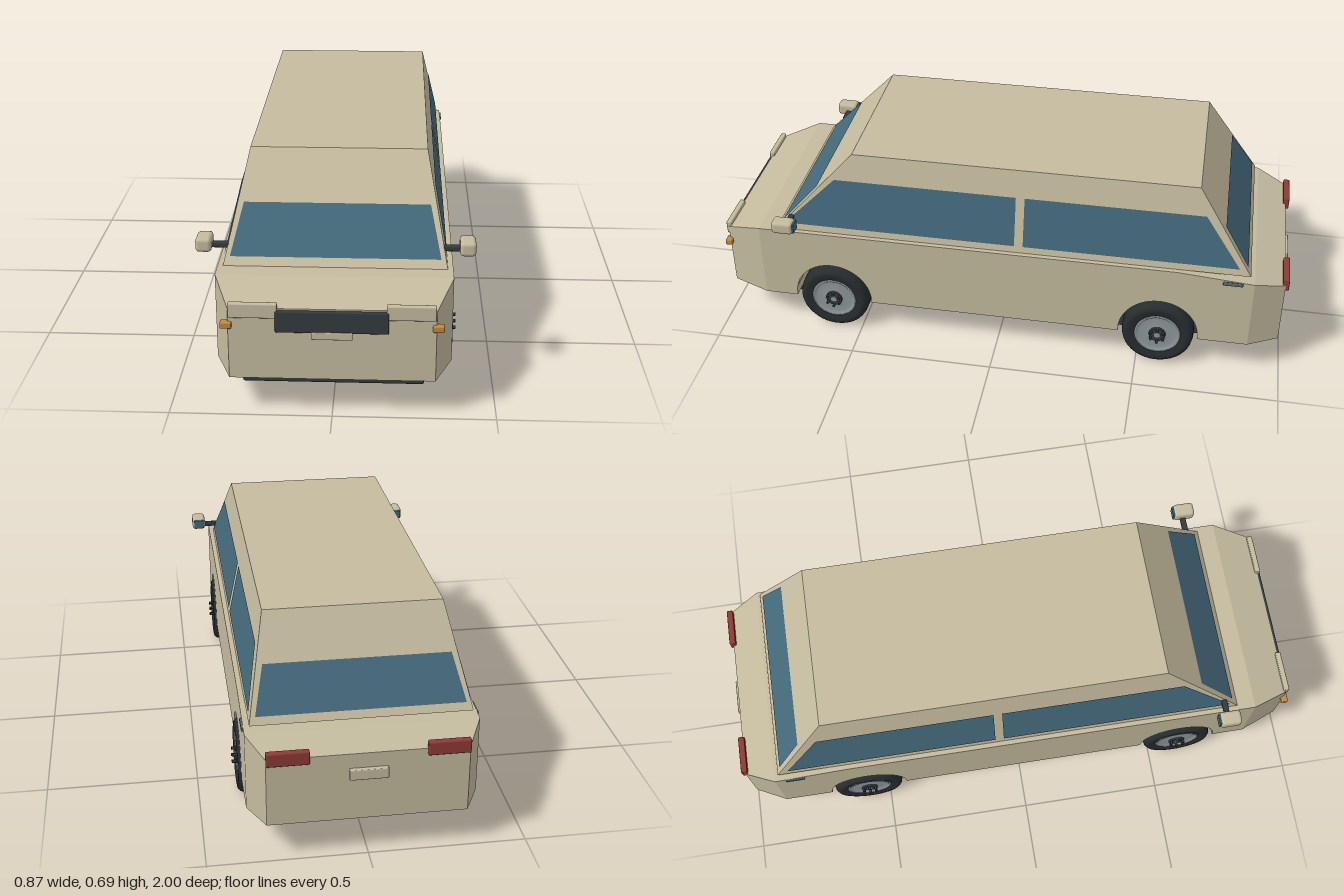
import * as THREE from 'three';
import { RoundedBoxGeometry } from 'three/addons/geometries/RoundedBoxGeometry.js';

const paint = (name, color) => {
  const m = new THREE.MeshStandardMaterial({ color });
  m.name = name;
  return m;
};

export function createModel() {
  const beige = paint('beige paint', 0xc4bb9e);
  const glass = paint('blue glass', 0x44697a);
  glass.side = THREE.DoubleSide;
  const dark = paint('dark plastic', 0x343b3e);
  const rubber = paint('black rubber', 0x272c2f);
  const steel = paint('grey steel', 0x8d979b);
  const slate = paint('slate underside', 0x5a686a);
  const amber = paint('amber lamp', 0xc28a40);
  const red = paint('red lamp', 0x8e3a36);

  const model = new THREE.Group();
  model.name = 'van';

  const add = (name, geo, mat, parent = model) => {
    const mesh = new THREE.Mesh(geo, mat);
    mesh.name = name;
    parent.add(mesh);
    return mesh;
  };

  // Rounded block given by its low and high corners
  const block = (name, x0, x1, y0, y1, z0, z1, mat, r = 0.004, parent = model) => {
    const g = new RoundedBoxGeometry(x1 - x0, y1 - y0, z1 - z0, 2, r);
    g.translate((x0 + x1) / 2, (y0 + y1) / 2, (z0 + z1) / 2);
    return add(name, g, mat, parent);
  };

  // Six-sided solid whose corners follow a rule on the corner signs
  const hexa = (name, rule, mat) => {
    const g = new THREE.BoxGeometry(2, 2, 2);
    const p = g.attributes.position;
    for (let i = 0; i < p.count; i++) p.setXYZ(i, ...rule(p.getX(i), p.getY(i), p.getZ(i)));
    g.computeVertexNormals();
    return add(name, g, mat);
  };

  // Thin polygon laid just above a surface
  const pane = (name, pts, mat) => {
    const g = new THREE.BufferGeometry();
    g.setAttribute('position', new THREE.Float32BufferAttribute(pts.flat(), 3));
    g.setIndex([0, 1, 2, 0, 2, 3]);
    g.computeVertexNormals();
    return add(name, g, mat);
  };

  // Lower body with open wheel arches
  const HALF = 0.365, FLOOR = 0.12, FRONT = 0.85, REAR = -0.88;
  const axles = [-0.57, 0.595];
  const side = new THREE.Shape();
  side.moveTo(REAR, FLOOR);
  for (const z of axles) {
    side.lineTo(z - 0.138, FLOOR);
    side.absarc(z, 0.13, 0.138, Math.PI, 0, true);
    side.lineTo(z + 0.138, FLOOR);
  }
  side.lineTo(FRONT, FLOOR);
  side.lineTo(FRONT, 0.4);
  side.lineTo(-0.62, 0.4);
  side.lineTo(REAR, 0.38);
  const bodyGeo = new THREE.ExtrudeGeometry(side, { depth: HALF * 2, bevelEnabled: false, curveSegments: 28 });
  bodyGeo.rotateY(-Math.PI / 2).translate(HALF, 0, 0);
  add('lowerBody', bodyGeo, beige);

  // Tapered nose and tail
  hexa('nose', (x, y, z) => [x * (z > 0 ? 0.312 : HALF), y < 0 ? FLOOR : z > 0 ? 0.355 : 0.4, z > 0 ? 0.985 : FRONT], beige);
  hexa('tail', (x, y, z) => [x * (z < 0 ? 0.312 : HALF), y < 0 ? FLOOR : z < 0 ? 0.35 : 0.38, z < 0 ? -0.985 : REAR], beige);

  // Cabin narrowing towards the roof
  const Y0 = 0.4, Y1 = 0.695;
  const at = (y, a, b) => a + (b - a) * (y - Y0) / (Y1 - Y0);
  const cabX = y => at(y, 0.348, 0.285);
  const cabFront = y => at(y, 0.787, 0.512);
  const cabRear = y => at(y, -0.865, -0.672);
  hexa('cabin', (x, y, z) => {
    const h = y < 0 ? Y0 : Y1;
    return [x * cabX(h), h, z > 0 ? cabFront(h) : cabRear(h)];
  }, beige);

  // Windscreen and rear window
  const lo = 0.424, hi = 0.557, gap = 0.004;
  for (const [name, zAt, s] of [['windscreen', cabFront, 1], ['rearWindow', cabRear, -1]]) {
    const zl = zAt(lo) + s * gap, zh = zAt(hi) + s * gap;
    pane(name, [[-s * 0.328, lo, zl], [s * 0.328, lo, zl], [s * 0.295, hi, zh], [-s * 0.295, hi, zh]], glass);
  }

  // Tyre and rim profiles, turned about the axle
  const profile = pts => pts.map(([r, h]) => new THREE.Vector2(r, h));
  const tyreGeo = new THREE.LatheGeometry(profile([
    [0.078, -0.036], [0.1, -0.043], [0.113, -0.041], [0.122, -0.031], [0.125, -0.016],
    [0.125, 0.016], [0.122, 0.031], [0.113, 0.041], [0.1, 0.043], [0.078, 0.036]]), 40);
  const rimGeo = new THREE.LatheGeometry(profile([
    [0, -0.034], [0.08, -0.036], [0.08, 0.038], [0.072, 0.038], [0.064, 0.03], [0.035, 0.036], [0, 0.036]]), 40);
  const hubGeo = new THREE.CylinderGeometry(0.028, 0.03, 0.008, 24).translate(0, 0.038, 0);
  const capGeo = new THREE.CylinderGeometry(0.012, 0.012, 0.006, 16).translate(0, 0.043, 0);
  const nutGeo = new THREE.CylinderGeometry(0.005, 0.005, 0.018, 6);

  for (const s of [1, -1]) {
    const label = s > 0 ? 'left' : 'right';

    for (const z of axles) {
      const wheel = new THREE.Group();
      wheel.name = label + (z > 0 ? 'FrontWheel' : 'RearWheel');
      add('tyre', tyreGeo, rubber, wheel);
      add('rim', rimGeo, steel, wheel);
      add('hub', hubGeo, dark, wheel);
      add('hubCap', capGeo, steel, wheel);
      for (let i = 0; i < 6; i++) {
        const a = i * Math.PI / 3;
        add('wheelNut', nutGeo, dark, wheel).position.set(0.025 * Math.cos(a), 0.046, 0.025 * Math.sin(a));
      }
      wheel.position.set(s * 0.331, 0.125, z);
      wheel.rotation.z = -s * Math.PI / 2;
      model.add(wheel);
    }

    // Side windows
    const xl = s * (cabX(0.425) + gap), xh = s * (cabX(0.6) + gap);
    for (const [name, a, b, c, d] of [['FrontSideWindow', -0.06, 0.757, 0.575, -0.06], ['RearSideWindow', -0.826, -0.09, -0.09, -0.7]]) {
      const p = [[xl, 0.425, a], [xl, 0.425, b], [xh, 0.6, c], [xh, 0.6, d]];
      pane(label + name, s > 0 ? p.reverse() : p, glass);
    }

    // Side mirror on a stalk
    const mirror = new THREE.Group();
    mirror.name = label + 'Mirror';
    model.add(mirror);
    const span = (a, b) => s > 0 ? [a, b] : [-b, -a];
    block('mirrorShell', ...span(0.385, 0.435), 0.436, 0.482, 0.7, 0.775, beige, 0.012, mirror);
    block('mirrorStalk', ...span(0.335, 0.392), 0.44, 0.457, 0.722, 0.742, dark, 0.004, mirror);
    block('mirrorGlass', ...span(0.391, 0.429), 0.442, 0.476, 0.695, 0.702, glass, 0.002, mirror);

    // Lamps and side handle
    block(label + 'Headlamp', ...span(0.163, 0.31), 0.325, 0.372, 0.975, 0.994, beige);
    block(label + 'Indicator', ...span(0.3, 0.335), 0.289, 0.31, 0.972, 0.996, amber);
    block(label + 'TailLamp', ...span(0.18, 0.312), 0.33, 0.375, -0.997, -0.975, red);
    block(label + 'Handle', ...span(0.352, 0.371), 0.369, 0.382, -0.842, -0.775, slate, 0.003);
  }

  // Grille and plates
  block('grille', -0.17, 0.17, 0.28, 0.35, 0.975, 0.996, dark);
  block('frontPlate', -0.062, 0.062, 0.26, 0.284, 0.98, 1, beige, 0.003);
  block('rearPlate', -0.06, 0.06, 0.265, 0.3, -1, -0.98, beige, 0.003);

  // Underbody
  block('chassis', -0.28, 0.28, 0.07, 0.125, -0.918, 0.922, dark, 0.008);
  block('underTray', -0.245, 0.245, 0.05, 0.08, -0.825, 0.83, slate, 0.008);

  return model;
}
